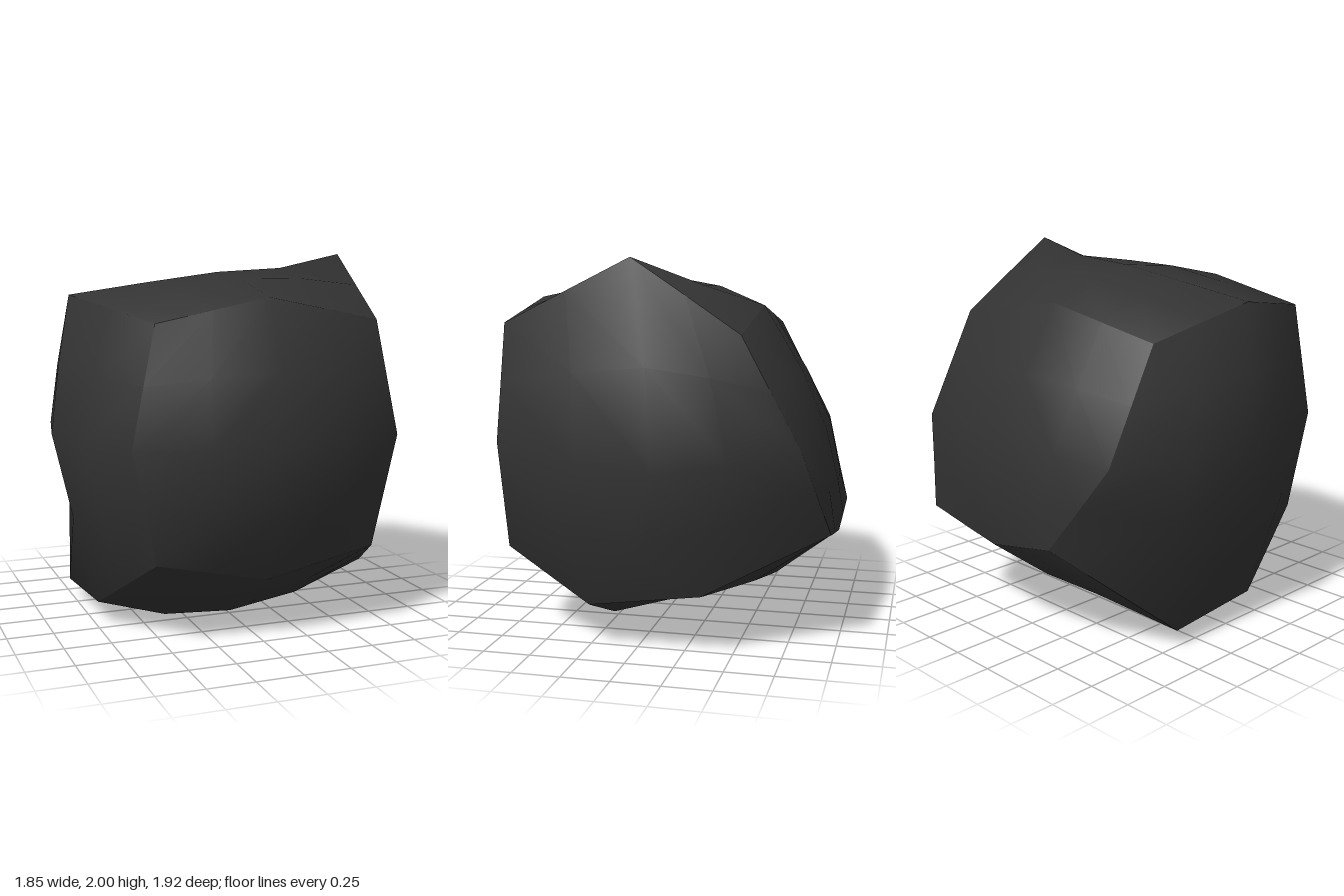
import * as THREE from 'three';

// Control points of a bulged cube: corners, edge middles and face centres.
// Key letters: L/R = -x/+x, D/U = bottom/top, B/F = back/front, '-' = middle.
const CONTROL = {
  // corners
  LDF: [-0.58, 0.46, 0.75], RDF: [0.62, 0.46, 0.75], LUF: [-0.58, 1.66, 0.75], RUF: [0.62, 1.66, 0.75],
  LDB: [-0.41, 0.6, -0.96], RDB: [0.55, 0.6, -0.96], LUB: [-0.7, 1.62, -0.53], RUB: [0.755, 1.62, -0.53],
  // edge middles
  '-DF': [0.02, 0.33, 0.75], '-UF': [0.02, 1.78, 0.75], 'L-F': [-0.7, 1.05, 0.75], 'R-F': [0.76, 1.05, 0.75],
  '-DB': [0.04, 0.51, -0.94], '-UB': [0.02, 1.74, -0.53], 'L-B': [-0.7, 1.05, -0.83], 'R-B': [0.75, 1.06, -0.83],
  'LD-': [-0.74, 0.13, 0.2], 'RD-': [0.82, 0.23, 0.24], 'LU-': [-0.83, 1.78, 0.02], 'RU-': [0.75, 2.0, 0.03],
  // face centres
  '--F': [0.02, 1.05, 0.95], '--B': [0.02, 1.07, -0.88], 'L--': [-0.93, 1.03, -0.02],
  'R--': [0.92, 0.95, -0.12], '-U-': [0.02, 1.9, 0.0], '-D-': [0.02, 0.0, 0.23],
};

// Local swellings and dents: centre, shift, radius
const SWELLINGS = [
  // lower back edges
  [[-0.575, 0.365, -0.38], [-0.185, -0.265, 0.06], 0.25],
  [[0.685, 0.415, -0.36], [0.185, -0.085, 0.06], 0.25],
  // underside towards the back
  [[-0.22, 0.255, -0.37], [0, -0.01, -0.19], 0.4],
  [[0.28, 0.255, -0.37], [0, -0.01, -0.19], 0.4],
  // dent beside the peak
  [[0.39, 1.94, 0.1], [0, -0.04, 0], 0.25],
].map(([c, d, r]) => ({ c: new THREE.Vector3(...c), d: new THREE.Vector3(...d), r }));

// Face name, normal axis and sign, axes running across and up the face, roundness along each
const FACES = [
  ['frontFace', 2, 1, 0, 1, 1, 1], ['backFace', 2, -1, 1, 0, 1, 1],
  ['leftFace', 0, 1, 1, 2, 0.4, 0.6], ['rightFace', 0, -1, 2, 1, 0.6, 0.2],
  ['topFace', 1, 1, 2, 0, 0.7, 0.9], ['bottomFace', 1, -1, 0, 2, 1, 0],
];
const LETTERS = ['L-R', 'D-U', 'B-F'];
const SEGMENTS = 4;
const CENTRE = new THREE.Vector3(0, 1.05, 0);

// Weights of three points: straight on the rim (round = 0), curved inside (round = 1)
function weights(t, round) {
  const straight = [Math.max(-t, 0), 1 - Math.abs(t), Math.max(t, 0)];
  const curved = [t * (t - 1) / 2, 1 - t * t, t * (t + 1) / 2];
  return straight.map((w, i) => w + (curved[i] - w) * round);
}

function facePoint([, axis, sign, a, b, roundA, roundB], u, v) {
  const wu = weights(u, roundA * (1 - v * v)), wv = weights(v, roundB * (1 - u * u));
  const p = new THREE.Vector3();
  for (let i = 0; i < 3; i++) for (let j = 0; j < 3; j++) {
    const key = [];
    key[axis] = LETTERS[axis][sign + 1];
    key[a] = LETTERS[a][i];
    key[b] = LETTERS[b][j];
    p.addScaledVector(new THREE.Vector3(...CONTROL[key.join('')]), wu[i] * wv[j]);
  }
  const start = p.clone();
  for (const { c, d, r } of SWELLINGS) {
    p.addScaledVector(d, Math.exp(-start.distanceToSquared(c) / (r * r)));
  }
  p.y = Math.max(p.y, 0);
  return p;
}

// Lean the normals outwards from the centre, so the creases between faces look worn
function softenNormals({ attributes: { position, normal } }) {
  const n = new THREE.Vector3(), out = new THREE.Vector3();
  for (let i = 0; i < position.count; i++) {
    out.fromBufferAttribute(position, i).sub(CENTRE).normalize();
    n.fromBufferAttribute(normal, i).lerp(out, 0.5).normalize();
    normal.setXYZ(i, n.x, n.y, n.z);
  }
}

// One smooth patch per face
function faceGeometry(face) {
  const positions = [], indices = [], row = SEGMENTS + 1;
  for (let j = 0; j < row; j++) for (let i = 0; i < row; i++) {
    positions.push(...facePoint(face, 2 * i / SEGMENTS - 1, 2 * j / SEGMENTS - 1).toArray());
    if (i < SEGMENTS && j < SEGMENTS) {
      const n = j * row + i;
      indices.push(n, n + 1, n + row + 1, n, n + row + 1, n + row);
    }
  }
  const geometry = new THREE.BufferGeometry();
  geometry.setAttribute('position', new THREE.Float32BufferAttribute(positions, 3));
  geometry.setIndex(indices);
  geometry.computeVertexNormals();
  softenNormals(geometry);
  return geometry;
}

export function createModel() {
  const group = new THREE.Group();
  group.name = 'stone';
  const material = new THREE.MeshStandardMaterial({ color: 0x333333 });
  for (const face of FACES) {
    const mesh = new THREE.Mesh(faceGeometry(face), material);
    mesh.name = face[0];
    group.add(mesh);
  }
  return group;
}
